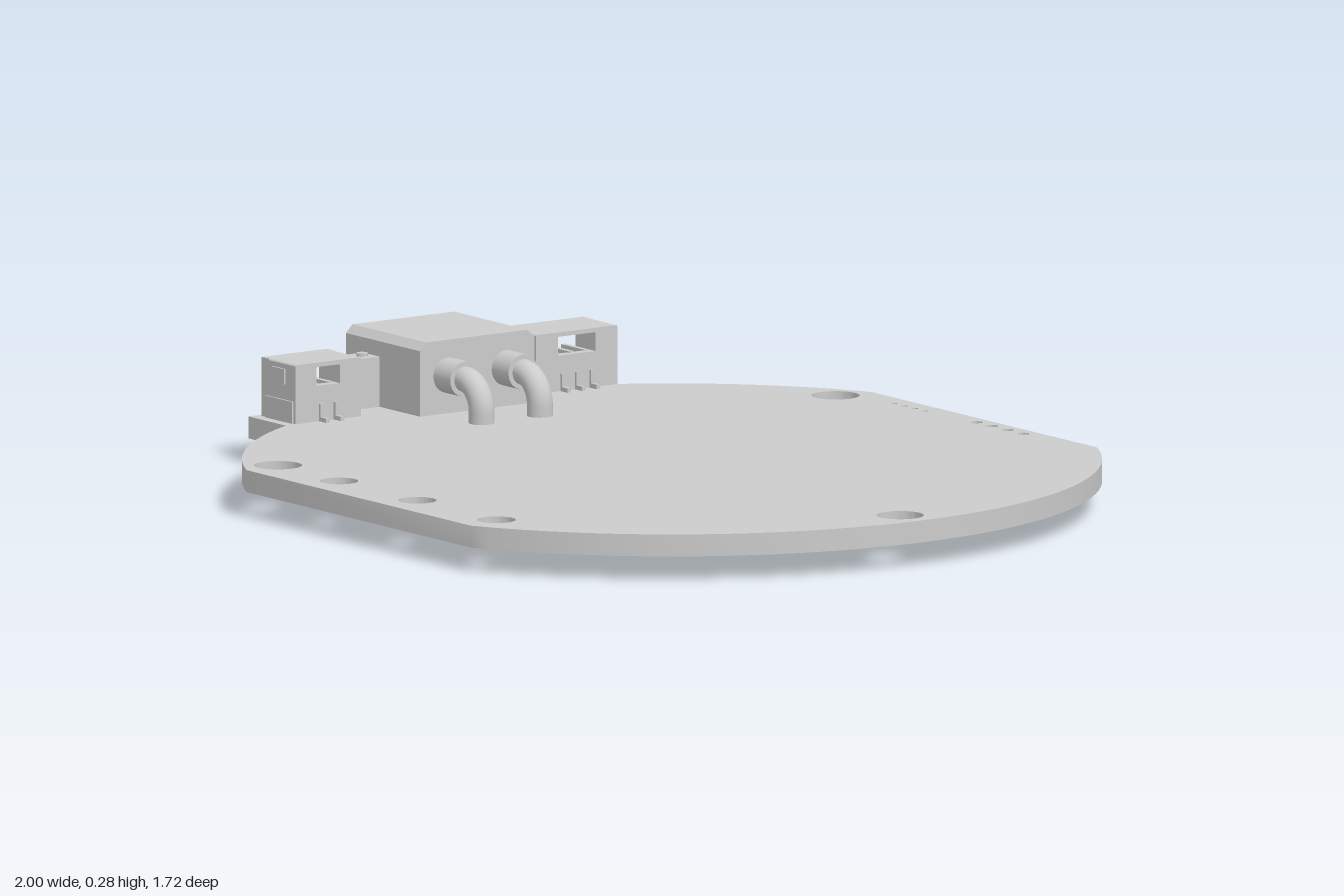
import * as THREE from 'three';
import { toCreasedNormals } from 'three/addons/utils/BufferGeometryUtils.js';

const mat = new THREE.MeshStandardMaterial({ color: 0xcccccc });

function add(parent, name, geometry, x = 0, y = 0, z = 0) {
  const m = new THREE.Mesh(geometry, mat);
  m.name = name;
  m.position.set(x, y, z);
  parent.add(m);
  return m;
}

// Box given by its min and max on each axis
function box(parent, name, x0, x1, y0, y1, z0, z1) {
  return add(parent, name, new THREE.BoxGeometry(x1 - x0, y1 - y0, z1 - z0),
    (x0 + x1) / 2, (y0 + y1) / 2, (z0 + z1) / 2);
}

// Rod along x
function rodX(parent, name, r, x0, x1, y, z) {
  return add(parent, name, new THREE.CylinderGeometry(r, r, x1 - x0, 24).rotateZ(Math.PI / 2), (x0 + x1) / 2, y, z);
}

// Rectangle with cut top corners, centred on u = 0
function cutRect(Type, w, y0, y1, cut) {
  const h = w / 2;
  return new Type([[-h, y0], [h, y0], [h, y1 - cut], [h - cut, y1], [cut - h, y1], [-h, y1 - cut]]
    .map(([u, v]) => new THREE.Vector2(u, v)));
}

// Cross-section in the z-y plane swept along x
function sweepX(parent, name, shape, x0, x1, z) {
  const g = new THREE.ExtrudeGeometry(shape, { depth: x1 - x0, bevelEnabled: false });
  return add(parent, name, g.rotateY(Math.PI / 2), x0, 0, z);
}

function createBoard(parent) {
  const cx = 0.037, r = 0.963;
  const ang = (x, y) => Math.atan2(y, x - cx);
  const s = new THREE.Shape();
  s.moveTo(-0.955, 0.458);
  s.lineTo(-0.955, -0.458);
  s.lineTo(-0.81, -0.458);
  s.absarc(cx, 0, r, ang(-0.81, -0.458), ang(-0.4, -0.861), false);
  s.absarc(cx, 0, r, ang(0.47, -0.861), ang(0.47, 0.861), false);
  s.absarc(cx, 0, r, ang(-0.4, 0.861), ang(-0.81, 0.458), false);
  s.closePath();
  // Mounting holes and the two rows of pin holes: x, z, radius
  const holes = [[-0.41, -0.768, 0.054], [-0.41, 0.765, 0.054], [0.917, 0, 0.053]];
  for (const x of [-0.167, 0.135, 0.44]) holes.push([x, 0.77, 0.043]);
  for (let i = 0; i < 4; i++) {
    holes.push([-0.25 + i * 0.04, -0.815, 0.008], [0.052 + i * 0.06, -0.826, 0.014]);
  }
  for (const [x, z, hr] of holes) s.holes.push(new THREE.Path().absarc(x, -z, hr, 0, Math.PI * 2, true));
  const g = new THREE.ExtrudeGeometry(s, { depth: 0.05, bevelEnabled: false, curveSegments: 24 });
  add(parent, 'board', toCreasedNormals(g.rotateX(-Math.PI / 2), 0.5), 0, 0.055, 0);
}

function createPowerConnector(parent) {
  const g = new THREE.Group();
  g.name = 'powerConnector';
  parent.add(g);
  // Open shell facing -x with a solid rear
  const shell = cutRect(THREE.Shape, 0.315, 0.108, 0.275, 0.018);
  shell.holes.push(cutRect(THREE.Path, 0.265, 0.133, 0.252, 0.03));
  sweepX(g, 'connectorShell', shell, -1, -0.8, 0);
  sweepX(g, 'connectorRear', cutRect(THREE.Shape, 0.315, 0.108, 0.275, 0.018), -0.8, -0.715, 0);
  box(g, 'locatingNub', -0.96, -0.89, 0.022, 0.057, -0.05, 0.05);

  for (const side of [-1, 1]) {
    const z = side * 0.08;
    rodX(g, 'contactPin', 0.03, -0.96, -0.8, 0.195, z);
    rodX(g, 'contactSleeve', 0.04, -0.716, -0.65, 0.195, z);
    // Lead bends down through the board
    const path = new THREE.CurvePath();
    const v = (x, y) => new THREE.Vector3(x, y, z);
    path.add(new THREE.LineCurve3(v(-0.7, 0.195), v(-0.65, 0.195)));
    path.add(new THREE.CubicBezierCurve3(v(-0.65, 0.195), v(-0.614, 0.195), v(-0.585, 0.166), v(-0.585, 0.13)));
    path.add(new THREE.LineCurve3(v(-0.585, 0.13), v(-0.585, 0.036)));
    add(g, 'lead', new THREE.TubeGeometry(path, 40, 0.029, 20));
    add(g, 'leadEnd', new THREE.CircleGeometry(0.029, 20).rotateX(Math.PI / 2), -0.585, 0.036, z);

    // Side lug with its anchor pin
    const lug = (name, x0, x1, y0, y1, a, b) =>
      box(g, name, x0, x1, y0, y1, Math.min(a * side, b * side), Math.max(a * side, b * side));
    lug('lug', -0.935, -0.87, 0.108, 0.222, 0.155, 0.213);
    lug('anchorPin', -0.915, -0.89, 0, 0.11, 0.17, 0.195);
    add(g, 'lugBoss', new THREE.CylinderGeometry(0.013, 0.013, 0.01, 16), -0.902, 0.224, side * 0.183);
  }
}

// Small signal socket, open towards -x, with a window in its rear wall
function createSocket(parent, name, z, width, pins, windowWidth) {
  const g = new THREE.Group();
  g.name = name;
  parent.add(g);
  const h = width / 2;
  const frame = cutRect(THREE.Shape, width, 0.105, 0.239, 0.003);
  frame.holes.push(cutRect(THREE.Path, width - 0.044, 0.133, 0.229, 0.002));
  sweepX(g, 'socketFrame', frame, -0.915, -0.835, z);
  const rear = cutRect(THREE.Shape, width, 0.105, 0.239, 0.003);
  rear.holes.push(cutRect(THREE.Path, windowWidth, 0.186, 0.229, 0.002));
  sweepX(g, 'socketRear', rear, -0.835, -0.812, z);
  // Stepped mouth: sill, roof and side cheeks
  box(g, 'socketSill', -0.943, -0.915, 0.105, 0.133, z - h, z + h);
  box(g, 'socketRoof', -0.943, -0.915, 0.229, 0.239, z - h, z + h);
  for (const s of [-1, 1]) {
    box(g, 'socketCheek', -0.943, -0.915, 0.133, 0.229, z + s * (h - 0.011) - 0.011, z + s * (h - 0.011) + 0.011);
    box(g, 'socketFoot', -0.925, -0.82, 0.105, 0.155, z + s * h - 0.004, z + s * h + 0.004);
    box(g, 'socketLatch', -0.9, -0.85, 0.19, 0.225, z + s * h - 0.004, z + s * h + 0.004);
  }
  for (let i = 0; i < pins; i++) {
    const pz = z + (i - (pins - 1) / 2) * 0.04;
    box(g, 'socketPin', -0.92, -0.83, 0.176, 0.188, pz - 0.006, pz + 0.006);
    box(g, 'solderTail', -0.815, -0.785, 0.105, 0.115, pz - 0.005, pz + 0.005);
    box(g, 'tailRiser', -0.814, -0.806, 0.105, 0.145, pz - 0.005, pz + 0.005);
  }
}

export function createModel() {
  const model = new THREE.Group();
  model.name = 'circuitBoard';
  createBoard(model);
  createPowerConnector(model);
  createSocket(model, 'threePinSocket', -0.343, 0.224, 3, 0.104);
  createSocket(model, 'twoPinSocket', 0.34, 0.18, 2, 0.064);
  return model;
}
